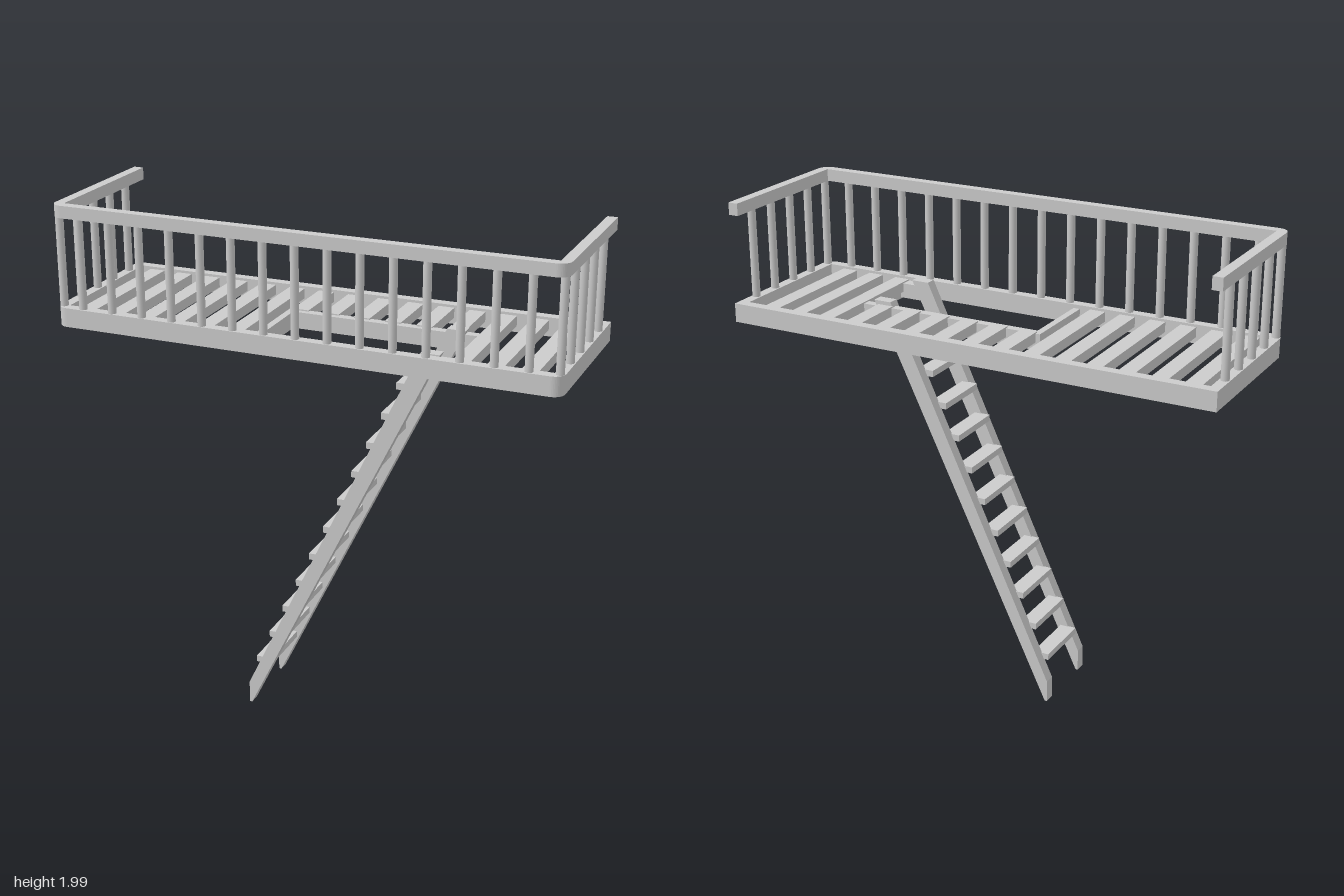
import * as THREE from 'three';

const mat = new THREE.MeshStandardMaterial({ color: 0xcccccc });

export function createModel() {
  const root = new THREE.Group();
  root.name = 'balconyWithLadder';

  const add = (name, geo, parent = root) => {
    const m = new THREE.Mesh(geo, mat);
    m.name = name;
    parent.add(m);
    return m;
  };
  // box given by its limits on each axis
  const box = (name, x0, x1, y0, y1, z0, z1, parent) => {
    const m = add(name, new THREE.BoxGeometry(x1 - x0, y1 - y0, z1 - z0), parent);
    m.position.set((x0 + x1) / 2, (y0 + y1) / 2, (z0 + z1) / 2);
    return m;
  };
  const group = (name) => {
    const g = new THREE.Group();
    g.name = name;
    root.add(g);
    return g;
  };

  // plan outlines are drawn in (x, z) and extruded downwards from the top
  const B = -0.328, F = 0.325, W = 0.04, R = 0.045;
  const slab = (name, shape, y0, y1) => {
    const g = new THREE.ExtrudeGeometry(shape, { depth: y1 - y0, bevelEnabled: false, curveSegments: 6 });
    g.rotateX(Math.PI / 2);
    g.translate(0, y1, 0);
    return add(name, g);
  };
  const roundedFront = () => {
    const s = new THREE.Shape();
    s.moveTo(-1, B);
    s.lineTo(1, B);
    s.lineTo(1, F - R);
    s.absarc(1 - R, F - R, R, 0, Math.PI / 2, false);
    s.lineTo(-1 + R, F);
    s.absarc(-1 + R, F - R, R, Math.PI / 2, Math.PI, false);
    s.closePath();
    return s;
  };

  // deck frame: closed ring
  const frame = roundedFront();
  frame.holes.push(new THREE.Path([
    [-1 + W, B + W], [-1 + W, F - W], [1 - W, F - W], [1 - W, B + W],
  ].map(([x, z]) => new THREE.Vector2(x, z))));
  slab('deckFrame', frame, 1.51, 1.585);

  // handrail: U shape open at the back
  const rail = new THREE.Shape();
  rail.moveTo(1 - W, B);
  rail.lineTo(1, B);
  rail.lineTo(1, F - R);
  rail.absarc(1 - R, F - R, R, 0, Math.PI / 2, false);
  rail.lineTo(-1 + R, F);
  rail.absarc(-1 + R, F - R, R, Math.PI / 2, Math.PI, false);
  rail.lineTo(-1, B);
  rail.lineTo(-1 + W, B);
  rail.lineTo(-1 + W, F - W);
  rail.lineTo(1 - W, F - W);
  rail.closePath();
  slab('handrail', rail, 1.937, 1.985);

  // balusters along the front and both sides
  const balusters = group('balusters');
  const post = new THREE.CylinderGeometry(0.016, 0.016, 0.38, 12);
  const addPost = (x, z) => add('baluster', post, balusters).position.set(x, 1.76, z);
  const STEP = 0.126;
  for (let i = 0; i < 15; i++) addPost(-0.89 + STEP * i, 0.306);
  for (const side of [-1, 1])
    for (let i = 0; i < 5; i++) addPost(side * 0.981, 0.292 - STEP * i);

  // deck slats, shortened behind the hatch
  const slats = group('deckSlats');
  for (let i = 0; i < 15; i++) {
    const x = -0.89 + 0.1255 * i;
    const front = i >= 6 && i <= 11 ? -0.04 : F - W + 0.005;
    box('slat', x - 0.032, x + 0.032, 1.535, 1.575, B + W - 0.005, front, slats);
  }

  // beams lining the hatch
  const hatch = group('hatchFrame');
  box('hatchBackBeam', -0.187, 0.626, 1.505, 1.57, -0.053, -0.018, hatch);
  box('hatchRightBeam', -0.187, -0.16, 1.505, 1.57, -0.02, 0.29, hatch);
  box('hatchLeftBeam', 0.595, 0.626, 1.505, 1.57, -0.02, 0.29, hatch);
  box('hatchFrontBeam', 0.49, 0.6, 1.51, 1.57, 0.24, 0.288, hatch);

  // ladder: two sloping stringers cut plumb at the foot and level at the top
  const ladder = group('ladder');
  const side = new THREE.Shape([
    [-0.23, 0], [-0.22, 0], [0.503, 1.51], [0.541, 1.59], [0.468, 1.59], [-0.23, 0.09],
  ].map(([x, y]) => new THREE.Vector2(x, y)));
  const stringer = new THREE.ExtrudeGeometry(side, { depth: 0.045, bevelEnabled: false });
  for (const z of [-0.045, 0.24]) add('stringer', stringer, ladder).position.z = z;
  for (let i = 0; i < 11; i++) {
    const x = -0.214 + 0.0578 * i, y = 0.18 + 0.1255 * i;
    box('tread', x, x + 0.066, y - 0.013, y + 0.013, -0.005, 0.245, ladder);
  }

  return root;
}
